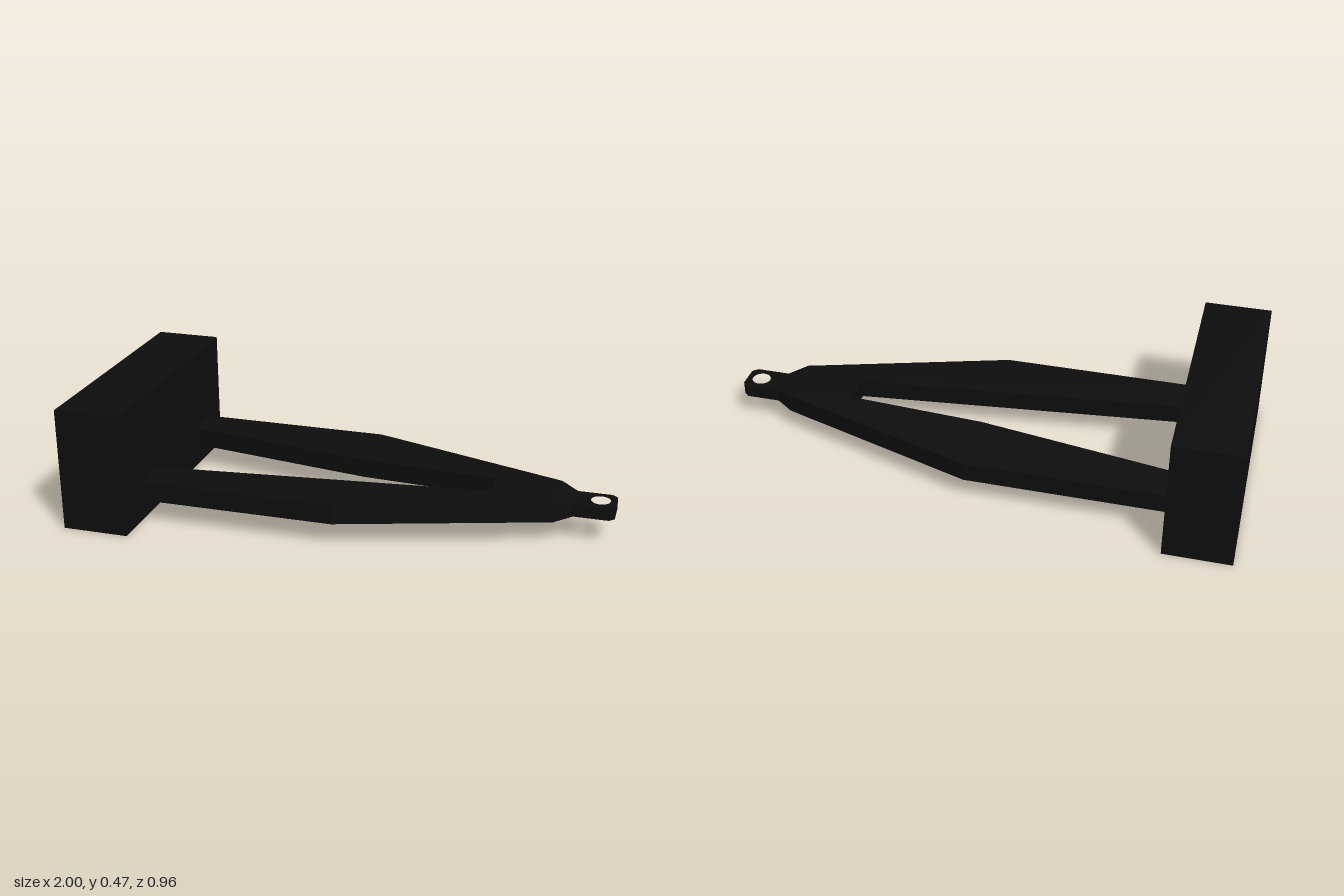
import * as THREE from 'three';

const material = new THREE.MeshStandardMaterial({ color: 0x0d0d0d, flatShading: true });

// Horizontal slab from a plan outline of [x, z] points, between two heights.
function slab(name, outline, y0, y1, hole) {
  const shape = new THREE.Shape(outline.map(([x, z]) => new THREE.Vector2(x, -z)));
  if (hole) shape.holes.push(new THREE.Path().absarc(hole.x, -hole.z, hole.r, 0, Math.PI * 2, true));
  const geometry = new THREE.ExtrudeGeometry(shape, { depth: y1 - y0, bevelEnabled: false, curveSegments: 24 });
  geometry.rotateX(-Math.PI / 2).translate(0, y0, 0);
  const mesh = new THREE.Mesh(geometry, material);
  mesh.name = name;
  return mesh;
}

export function createModel() {
  const group = new THREE.Group();
  group.name = 'towHitch';

  // Mounting block
  const block = new THREE.Mesh(new THREE.BoxGeometry(0.255, 0.475, 0.96), material);
  block.name = 'mountingBlock';
  block.position.set(-0.8725, 0.2375, 0);
  group.add(block);

  // Two arms converging on the tip
  group.add(slab('forkedArms', [
    [-0.75, -0.36], [0.01, -0.36], [0.785, -0.105], [0.785, 0.11], [0.01, 0.352], [-0.75, 0.352],
    [-0.75, 0.2], [0.54, 0.06], [0.54, -0.055], [0.01, -0.09], [-0.75, -0.215],
  ], 0.092, 0.165));

  // Neck that thins towards the eye plate
  const neck = slab('taperedNeck', [[0.785, -0.105], [0.85, -0.063], [0.85, 0.058], [0.785, 0.11]], 0.092, 0.165);
  const p = neck.geometry.attributes.position;
  for (let i = 0; i < p.count; i++) {
    if (p.getX(i) > 0.82) p.setY(i, p.getY(i) > 0.13 ? 0.15 : 0.1);
  }
  neck.geometry.computeVertexNormals();
  group.add(neck);

  // Eye plate with clipped corners and a pin hole
  group.add(slab('eyePlate', [
    [0.85, -0.063], [0.98, -0.063], [1, -0.045], [1, 0.04], [0.98, 0.058], [0.85, 0.058],
  ], 0.1, 0.15, { x: 0.942, z: -0.003, r: 0.036 }));

  return group;
}
